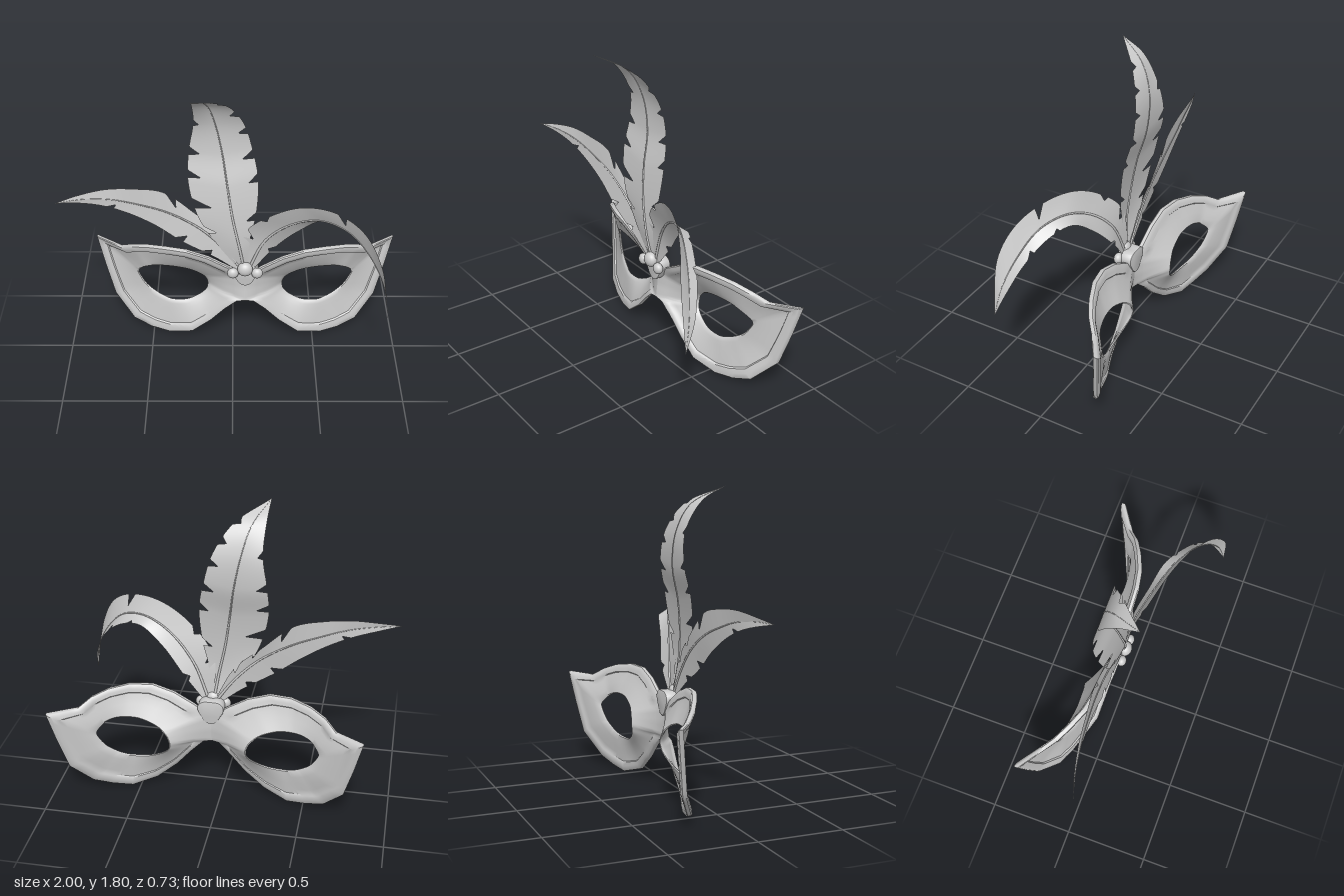
import * as THREE from 'three';
import { toCreasedNormals } from 'three/addons/utils/BufferGeometryUtils.js';

const CENTER = 0.075; // the mask's mirror plane in x
const material = new THREE.MeshStandardMaterial({ color: 0xcccccc, roughness: 0.7 });
const thin = new THREE.MeshStandardMaterial({ color: 0xcccccc, roughness: 0.7, side: THREE.DoubleSide });

function named(name, geometry, mat = material) {
  const mesh = new THREE.Mesh(geometry, mat);
  mesh.name = name;
  return mesh;
}

function gridGeometry(points, index) {
  const g = new THREE.BufferGeometry();
  g.setAttribute('position', new THREE.Float32BufferAttribute(points, 3));
  g.setIndex(index);
  g.computeVertexNormals();
  return g;
}

// Half mask stations, from the bridge around: outline x, y, z, then eye hole x, y, z
const STATIONS = [
  [0, .5, -.07, .265, .42, -.19],
  [.1, .57, -.07, .30, .45, -.18],
  [.22, .64, -.07, .35, .475, -.175],
  [.35, .685, -.075, .42, .495, -.17],
  [.48, .69, -.1, .49, .5, -.175],
  [.6, .67, -.15, .55, .495, -.185],
  [.69, .635, -.2, .605, .475, -.2],
  [.76, .585, -.26, .635, .45, -.22],
  [.92, .59, -.365, .66, .415, -.24],
  [.875, .4, -.335, .65, .38, -.24],
  [.82, .2, -.3, .61, .32, -.225],
  [.7, .06, -.22, .55, .275, -.205],
  [.59, .022, -.18, .5, .252, -.19],
  [.475, .005, -.15, .45, .24, -.175],
  [.33, .05, -.1, .36, .245, -.17],
  [.21, .15, -.09, .285, .275, -.18],
  [.12, .25, -.08, .245, .305, -.19],
  [.05, .315, -.065, .233, .33, -.195],
  [0, .325, -.06, .232, .36, -.2],
  [0, .41, -.07, .245, .395, -.195],
];

// Closed cross-section: position from outline (0) to eye hole (1), and offset in z
const SECTION = [
  [0, .01], [.03, .018], [.14, .022], [.25, .019], [.28, .009], [.42, .009], [.58, .009],
  [.74, .009], [.88, .009], [.97, .007], [1, 0], [.97, -.007], [.8, -.01], [.6, -.01],
  [.42, -.01], [.28, -.01], [.25, -.016], [.14, -.018], [.03, -.015], [0, -.01],
];

function maskHalf(side) {
  const n = STATIONS.length, sub = 4, rows = n * sub, cols = SECTION.length;
  const outer = STATIONS.map(s => new THREE.Vector3(s[0], s[1], s[2]));
  const hole = new THREE.CatmullRomCurve3(
    STATIONS.map(s => new THREE.Vector3(s[3], s[4], s[5])), true, 'catmullrom', 0.5);
  const points = [], index = [];
  for (let i = 0; i < rows; i++) {
    const k = Math.floor(i / sub);
    const a = outer[k].clone().lerp(outer[(k + 1) % n], (i % sub) / sub);
    const b = hole.getPoint(i / rows);
    // the raised rim fades out along the bridge
    const rim = THREE.MathUtils.smoothstep(a.x, 0, 0.12);
    for (const [t, dz] of SECTION) {
      const flat = Math.sign(dz) * Math.min(Math.abs(dz), 0.01);
      points.push(
        CENTER + side * THREE.MathUtils.lerp(a.x, b.x, t),
        THREE.MathUtils.lerp(a.y, b.y, t),
        THREE.MathUtils.lerp(a.z, b.z, Math.pow(t, 1.3)) + THREE.MathUtils.lerp(flat, dz, rim));
    }
    for (let j = 0; j < cols; j++) {
      const i2 = (i + 1) % rows, j2 = (j + 1) % cols;
      const p = i * cols + j, q = i2 * cols + j, r = i * cols + j2, s = i2 * cols + j2;
      if (side > 0) index.push(p, r, q, q, r, s);
      else index.push(p, q, r, q, s, r);
    }
  }
  return toCreasedNormals(gridGeometry(points, index), 0.7);
}

const curve = pts => new THREE.CatmullRomCurve3(pts.map(p => new THREE.Vector3(...p)));

// Width of a vane along its length: each split drops sharply, then opens again
function vaneWidth(t, splits) {
  let w = 1;
  for (const [at, depth] of splits) {
    const d = t - at;
    if (d > 0 && d < 0.035) w = Math.min(w, 1 - depth * (1 - d / 0.035));
  }
  return w;
}

// Feather: a quill with a split vane on each side
function feather(name, quill, edges, splits) {
  const group = new THREE.Group();
  group.name = name;
  const mid = curve(quill), rows = 160, cols = 4;
  edges.forEach((edge, e) => {
    const rim = curve(edge), points = [], index = [];
    for (let i = 0; i <= rows; i++) {
      const t = i / rows, m = mid.getPoint(t), r = rim.getPoint(t);
      const w = vaneWidth(t, splits[e]);
      for (let j = 0; j <= cols; j++) {
        points.push(...m.clone().lerp(r, w * j / cols).toArray());
        if (i < rows && j < cols) {
          const p = i * (cols + 1) + j, q = p + cols + 1;
          index.push(p, p + 1, q, q, p + 1, q + 1);
        }
      }
    }
    group.add(named(e ? 'rightVane' : 'leftVane', gridGeometry(points, index), thin));
  });
  // quill tapering towards the tip
  const segs = 60, sides = 6;
  const tube = new THREE.TubeGeometry(mid, segs, 0.009, sides);
  const pos = tube.attributes.position, v = new THREE.Vector3();
  for (let i = 0; i <= segs; i++) {
    const c = mid.getPointAt(i / segs);
    for (let j = 0; j <= sides; j++) {
      const k = i * (sides + 1) + j;
      v.fromBufferAttribute(pos, k).sub(c).multiplyScalar(1 - 0.92 * i / segs).add(c);
      pos.setXYZ(k, v.x, v.y, v.z);
    }
  }
  group.add(named('quill', tube));
  return group;
}

export function createModel() {
  const model = new THREE.Group();
  model.name = 'featheredMask';
  model.add(named('leftMaskHalf', maskHalf(1)), named('rightMaskHalf', maskHalf(-1)));

  // Lobed plate that holds the feathers at the bridge
  const lobes = [];
  for (let i = 0; i < 48; i++) {
    const a = i / 48 * Math.PI * 2, r = 0.07 + 0.009 * Math.cos(3 * (a + Math.PI / 2));
    lobes.push(new THREE.Vector2(r * Math.cos(a), r * Math.sin(a)));
  }
  const plate = new THREE.ExtrudeGeometry(new THREE.Shape(lobes), {
    depth: 0.06, bevelEnabled: true, bevelSize: 0.005, bevelThickness: 0.005, bevelSegments: 2 });
  plate.translate(CENTER, 0.54, -0.092);
  model.add(named('plate', toCreasedNormals(plate, 0.6)));

  // Three gems
  [[0, .563, .034], [.073, .592, .046], [.145, .563, .034]].forEach(([x, y, r], i) => {
    const gem = named('gem' + (i + 1), new THREE.SphereGeometry(r, 20, 14));
    gem.position.set(x, y, -0.012);
    gem.scale.z = 0.8;
    model.add(gem);
  });

  model.add(feather('centerFeather',
    [[.07, .56, -.03], [.04, .75, -.005], [0, .95, -.01], [-.03, 1.15, -.035],
      [-.06, 1.35, -.082], [-.1, 1.55, -.075], [-.145, 1.7, -.005], [-.23, 1.8, .17]],
    [[[.05, .56, -.03], [-.1, .78, -.02], [-.2, .96, -.02], [-.255, 1.18, -.05],
      [-.25, 1.36, -.088], [-.22, 1.55, -.07], [-.225, 1.72, .03], [-.23, 1.8, .17]],
    [[.09, .56, -.03], [.1, .8, -.01], [.135, .98, -.02], [.145, 1.2, -.05],
      [.11, 1.38, -.088], [.06, 1.55, -.075], [-.04, 1.7, 0], [-.23, 1.8, .17]]],
    [[[.2, .4], [.33, .5], [.45, .4], [.56, .35], [.7, .3]],
      [[.26, .45], [.42, .35], [.53, .4], [.65, .4], [.76, .35], [.86, .4]]]));

  model.add(feather('rightFeather',
    [[.06, .57, -.03], [-.06, .74, -.03], [-.2, .88, -.03], [-.38, .99, -.025],
      [-.55, 1.055, -.01], [-.7, 1.1, .01], [-.86, 1.12, .04], [-1, 1.12, .08]],
    [[[.04, .56, -.03], [-.1, .67, -.02], [-.29, .79, -.01], [-.45, .91, -.01],
      [-.6, 1.0, 0], [-.74, 1.06, .015], [-.87, 1.095, .04], [-1, 1.12, .08]],
    [[.06, .59, -.03], [-.06, .82, -.04], [-.22, .97, -.045], [-.4, 1.12, -.035],
      [-.56, 1.155, -.015], [-.72, 1.165, .005], [-.88, 1.145, .04], [-1, 1.12, .08]]],
    [[[.17, .4], [.29, .4], [.66, .5]], [[.14, .5], [.24, .4], [.38, .55]]]));

  model.add(feather('leftFeather',
    [[.09, .57, -.03], [.19, .81, 0], [.34, .965, .06], [.5, 1.03, .12],
      [.65, 1.0, .19], [.77, .88, .25], [.86, .7, .31], [.89, .51, .352]],
    [[[.07, .58, -.03], [.07, .86, 0], [.22, 1.03, .07], [.4, 1.125, .13],
      [.58, 1.13, .2], [.73, 1.05, .28], [.83, .87, .345], [.89, .51, .352]],
    [[.11, .56, -.03], [.24, .73, -.03], [.38, .89, .02], [.52, .99, .065],
      [.65, .96, .13], [.78, .85, .2], [.865, .68, .275], [.89, .51, .352]]],
    [[[.13, .5], [.24, .25], [.58, .6]], [[.12, .35], [.5, .3], [.66, .4]]]));

  return model;
}
